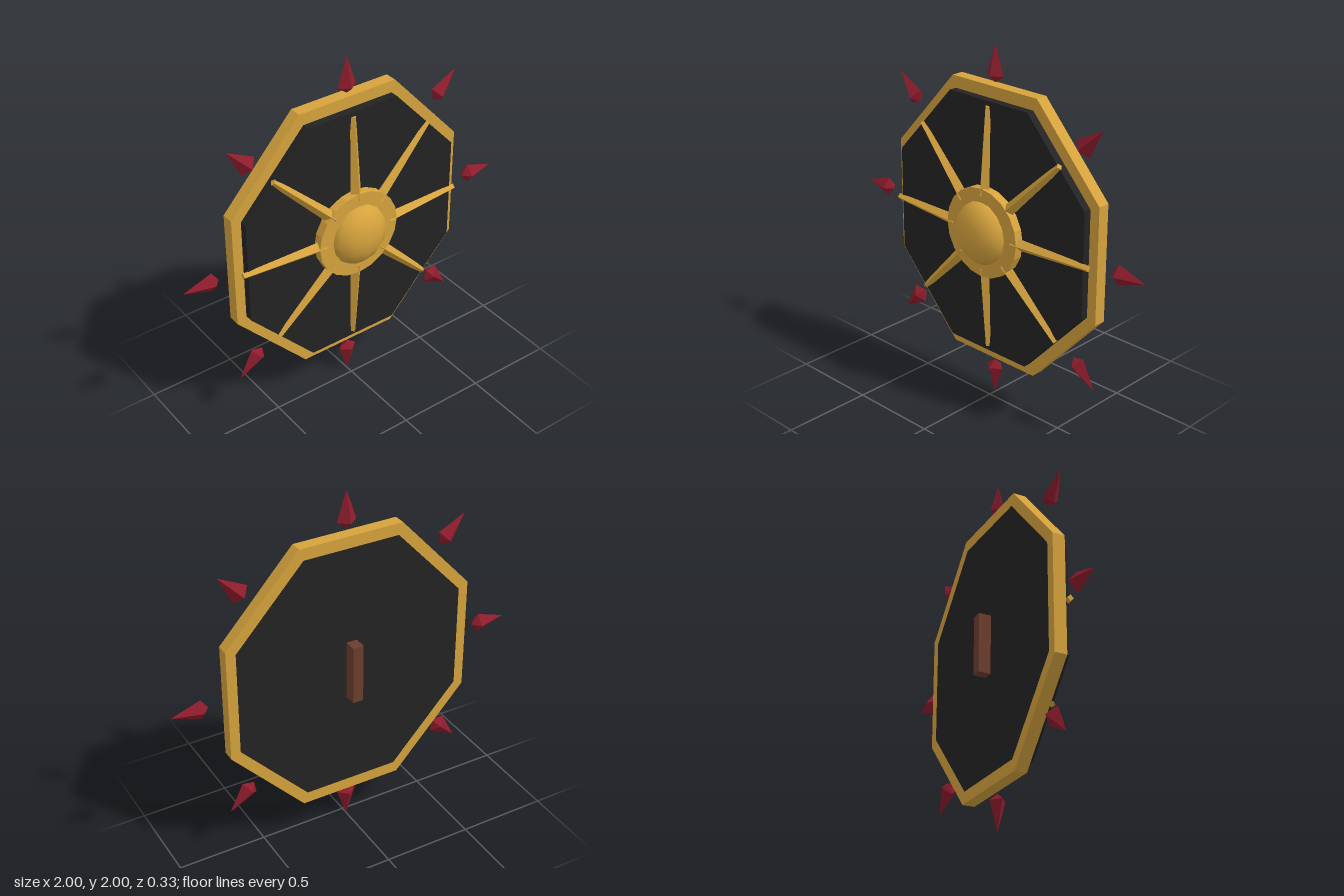
import * as THREE from 'three';

const mat = (name, color) => {
  const m = new THREE.MeshStandardMaterial({ color });
  m.name = name;
  return m;
};

// Facet a geometry so every face has its own normal
const faceted = (geo) => {
  const g = geo.toNonIndexed();
  g.computeVertexNormals();
  return g;
};

// Eight-sided outline with flat sides, given half width and half height
function octagon(w, h, Type = THREE.Shape) {
  const t = Math.tan(Math.PI / 8);
  return new Type([
    [w, -h * t], [w, h * t], [w * t, h], [-w * t, h],
    [-w, h * t], [-w, -h * t], [-w * t, -h], [w * t, -h],
  ].map(([x, y]) => new THREE.Vector2(x, y)));
}

// Plate from z0 (back) to z1 (front)
function plate(shape, z0, z1) {
  const g = new THREE.ExtrudeGeometry(shape, { depth: z1 - z0, bevelEnabled: false });
  return g.translate(0, 0, z0);
}

export function createModel() {
  const gold = mat('gold', 0xd6a33d);
  const black = mat('black', 0x232323);
  const crimson = mat('crimson', 0x8e1c2c);
  const brown = mat('brown', 0x6b3e2e);

  const model = new THREE.Group();
  model.name = 'shield';
  const body = new THREE.Group();
  body.name = 'body';
  body.position.y = 1;
  model.add(body);

  const add = (name, geo, material, parent = body) => {
    const mesh = new THREE.Mesh(geo, material);
    mesh.name = name;
    parent.add(mesh);
    return mesh;
  };

  // Octagonal rim and the panel set inside it
  const rim = octagon(0.71, 0.777);
  rim.holes.push(octagon(0.652, 0.71, THREE.Path));
  add('rim', plate(rim, -0.095, -0.027), gold);
  add('panel', plate(octagon(0.655, 0.711), -0.0955, 0.017), black);

  // Hub disc and boss
  add('hubDisc', faceted(new THREE.CylinderGeometry(0.25, 0.25, 0.06, 20).rotateX(Math.PI / 2)), gold)
    .position.z = 0.037;
  const boss = add('boss', new THREE.SphereGeometry(1, 12, 8), gold);
  boss.scale.set(0.172, 0.178, 0.115);
  boss.position.z = 0.05;

  // Tapered diamond-section spoke, leaning back toward the rim
  const spokeGeo = faceted(new THREE.CylinderGeometry(0.018, 0.034, 0.48, 4));
  const lean = Math.atan2(0.026, 0.48);

  // Spike: long point outward, short point inward
  const spikeGeo = faceted(new THREE.LatheGeometry([
    new THREE.Vector2(0, 0.795), new THREE.Vector2(0.056, 0.835), new THREE.Vector2(0, 1),
  ], 4)).scale(1, 1, 0.8);

  for (let i = 0; i < 8; i++) {
    const arm = new THREE.Group();
    arm.name = 'arm' + i;
    arm.rotation.z = -i * Math.PI / 4;
    body.add(arm);
    const spoke = add('spoke', spokeGeo, gold, arm);
    spoke.position.set(0, 0.445, 0.026);
    spoke.rotation.x = -lean;
    add('spike', spikeGeo, crimson, arm).position.z = -0.04;
  }

  // Grip on the back
  add('grip', new THREE.BoxGeometry(0.06, 0.335, 0.08), brown).position.set(0, 0.003, -0.125);

  return model;
}
